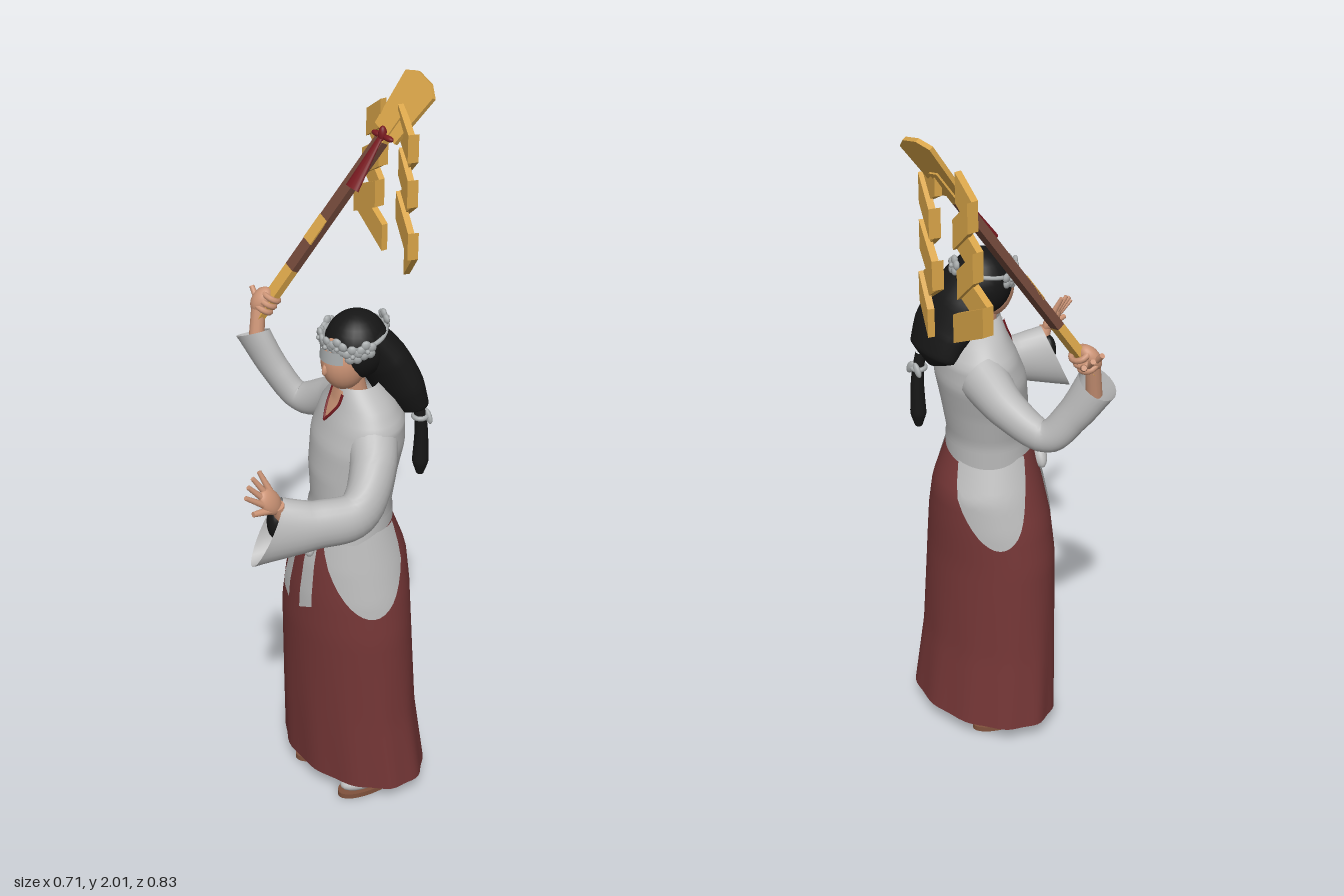
import * as THREE from 'three';

const V = (x, y, z) => new THREE.Vector3(x, y, z);
const mat = (name, color, side = THREE.FrontSide) => {
  const m = new THREE.MeshStandardMaterial({ color, side });
  m.name = name;
  return m;
};
const flatShape = pts => new THREE.Shape(pts.map(p => new THREE.Vector2(...p)));

// Surface from a rule fn(u, v), with u running round and v running up or along
function grid(nu, nv, fn, closed) {
  const pos = [], idx = [], w = closed ? nu : nu + 1;
  for (let j = 0; j <= nv; j++)
    for (let i = 0; i < w; i++) pos.push(...fn(i / nu, j / nv).toArray());
  for (let j = 0; j < nv; j++)
    for (let i = 0; i < nu; i++) {
      const a = j * w + i, b = j * w + (i + 1) % w;
      idx.push(a, b, b + w, a, b + w, a + w);
    }
  const g = new THREE.BufferGeometry();
  g.setAttribute('position', new THREE.Float32BufferAttribute(pos, 3));
  g.setIndex(idx);
  g.computeVertexNormals();
  return g;
}

// Point on a body of elliptical rings [y, cx, cz, rx, rz]; angle 0 is the front
function ringPoint(body, y, a, k = 1) {
  const R = body.rings;
  let i = 0;
  while (i < R.length - 2 && y > R[i + 1][0]) i++;
  const t = (y - R[i][0]) / (R[i + 1][0] - R[i][0]);
  const [, cx, cz, rx, rz] = R[i].map((n, j) => n + (R[i + 1][j] - n) * t);
  const p = V(rx * k * Math.sin(a), y, rz * k * Math.cos(a));
  return p.applyAxisAngle(V(0, 1, 0), body.yaw).add(V(cx, 0, cz));
}
const loft = (body, y0, y1, k = 1, fold = () => 0) => grid(72, 28, (u, v) => {
  const y = y0 + (y1 - y0) * v, a = u * Math.PI * 2;
  return ringPoint(body, y, a, k + fold(a, y));
}, true);
// Cloth lying on a body, hanging from yTop to the edge bottom(u), u from -1 to 1
const patch = (body, mid, half, yTop, bottom, k) => grid(20, 12, (u, v) => {
  const s = u * 2 - 1, y0 = bottom(s);
  return ringPoint(body, y0 + (yTop - y0) * v, mid + half * s, k);
}, false);

// Elliptical tube along points [x, y, z, side radius, up radius, shear]
function sweep(pts, up) {
  const curve = new THREE.CatmullRomCurve3(pts.map(p => V(p[0], p[1], p[2])));
  const n = pts.length - 1;
  return grid(24, 28, (u, v) => {
    const i = Math.min(Math.floor(v * n), n - 1), f = v * n - i;
    const r = j => THREE.MathUtils.lerp(pts[i][j] ?? 0, pts[i + 1][j] ?? 0, f);
    const t = curve.getTangent(v), s = up.clone().cross(t).normalize(), m = t.clone().cross(s);
    const a = u * Math.PI * 2;
    return curve.getPoint(v).addScaledVector(s, r(3) * Math.cos(a))
      .addScaledVector(m, r(4) * Math.sin(a)).addScaledVector(t, -r(5) * Math.sin(a));
  }, true);
}

export function createModel() {
  const root = new THREE.Group();
  root.name = 'shrineDancer';
  const robe = mat('robeWhite', 0xbababa, THREE.DoubleSide), red = mat('skirtRed', 0x743636);
  const black = mat('hairBlack', 0x161616), dark = mat('liningBlack', 0x101010, THREE.BackSide);
  const skin = mat('skin', 0xcc9476), gold = mat('gold', 0xd8a448), wood = mat('wood', 0x6f4638);
  const crimson = mat('tasselRed', 0x781a20), petal = mat('flowerGrey', 0xa8acad, THREE.DoubleSide);
  const sole = mat('sandalBrown', 0x80523c);

  const add = (name, geo, m, parent = root, p = [0, 0, 0], s = [1, 1, 1], r = [0, 0, 0]) => {
    const o = new THREE.Mesh(geo, m);
    o.name = name;
    o.position.set(...p); o.scale.set(...s); o.rotation.set(...r);
    parent.add(o);
    return o;
  };
  const ball = (name, m, p, s, parent = root, r) =>
    add(name, new THREE.SphereGeometry(1, 24, 16), m, parent, p, s, r);
  const limb = (name, m, a, b, r0, r1, parent = root, flat = 1) => {
    const d = b.clone().sub(a);
    const o = add(name, new THREE.CylinderGeometry(r1, r0, d.length(), 12), m, parent,
      a.clone().lerp(b, 0.5).toArray(), [1, 1, flat]);
    o.quaternion.setFromUnitVectors(V(0, 1, 0), d.normalize());
    return o;
  };

  // Skirt with soft folds growing toward the hem
  const skirt = { yaw: 0.12, rings: [[0.075, 0.116, -0.028, 0.234, 0.16], [0.3, 0.112, -0.01, 0.216, 0.153],
    [0.6, 0.112, 0.002, 0.203, 0.152], [0.72, 0.114, 0, 0.186, 0.152],
    [0.82, 0.118, -0.003, 0.16, 0.147], [0.93, 0.125, 0.01, 0.125, 0.115]] };
  const fold = (a, y) => 0.016 * Math.max(0, (0.5 - y) / 0.43) * Math.cos(a * 11);
  add('skirt', loft(skirt, 0.075, 0.93, 1, fold), red);
  add('skirtLining', loft(skirt, 0.077, 0.9, 0.985, fold), dark);

  // Robe body, sash and side flaps
  const torso = { yaw: -0.35, rings: [[0.89, 0.125, 0.01, 0.128, 0.117], [0.98, 0.125, 0, 0.124, 0.107],
    [1.08, 0.12, -0.01, 0.138, 0.117], [1.17, 0.12, -0.025, 0.159, 0.12], [1.24, 0.126, -0.035, 0.153, 0.105],
    [1.29, 0.13, -0.03, 0.112, 0.08], [1.335, 0.13, -0.015, 0.055, 0.055]] };
  add('robe', loft(torso, 0.89, 1.335), robe);
  add('sash', loft(torso, 0.905, 0.965, 1.025), robe);
  for (const [mid, half] of [[1.08, 0.92], [3.9, 0.8]])
    add('sideFlap', patch(skirt, mid, half, 0.93, u => 0.92 - 0.24 * Math.pow(1 - u * u, 0.9), 1.025), robe);

  // Neckline
  add('neckOpening', patch(torso, 0.08, 0.4, 1.325, u => 1.232 + 0.086 * Math.abs(u), 1.015), skin);
  for (const s of [-1, 1]) {
    const edge = [0, 0.33, 0.66, 1].map(t => ringPoint(torso, 1.232 + 0.086 * t, 0.08 + s * 0.4 * t, 1.02));
    add('collarTrim', new THREE.TubeGeometry(new THREE.CatmullRomCurve3(edge), 12, 0.004, 6), crimson);
  }

  // Front bow
  const bow = new THREE.Group();
  bow.name = 'bow';
  bow.position.set(0.075, 0.925, 0.125);
  bow.rotation.y = -0.38;
  root.add(bow);
  ball('bowKnot', robe, [0, 0, 0.008], [0.02, 0.022, 0.018], bow);
  for (const s of [-1, 1]) {
    ball('bowLoop', robe, [s * 0.043, -0.03, 0.004], [0.053, 0.027, 0.022], bow, [0, 0, -s * 0.75]);
    add('bowTail', patch(skirt, s < 0 ? -0.55 : -0.04, 0.12, 0.9, u => 0.675 + 0.012 * u * s, 1.04), robe);
  }

  // Sleeves
  add('rightSleeve', sweep([[0.04, 1.2, -0.085, 0.075, 0.065], [-0.08, 1.155, -0.1, 0.056, 0.05],
    [-0.19, 1.115, -0.072, 0.044, 0.036], [-0.25, 1.19, -0.035, 0.047, 0.038],
    [-0.302, 1.292, 0, 0.058, 0.04, -0.015]], V(0, 0, 1)), robe);
  add('leftSleeve', sweep([[0.2, 1.22, -0.005, 0.07, 0.065], [0.265, 1.145, 0.045, 0.06, 0.066],
    [0.3, 1.065, 0.125, 0.052, 0.065], [0.263, 1.055, 0.23, 0.05, 0.068],
    [0.2, 1.045, 0.34, 0.052, 0.095, 0.05]], V(0, 1, 0)), robe);
  ball('sleeveShadow', black, [0.207, 1.07, 0.318], [0.03, 0.046, 0.022], root, [0, -0.5, 0]);

  // Open left hand
  limb('leftWrist', skin, V(0.222, 1.06, 0.295), V(0.226, 1.135, 0.325), 0.022, 0.018);
  const hand = new THREE.Group();
  hand.name = 'leftHand';
  const hy = V(-0.15, 0.82, 0.55).normalize();
  const hz = V(0.35, -0.5, 0.75).cross(hy).normalize();
  hand.quaternion.setFromRotationMatrix(new THREE.Matrix4().makeBasis(hy.clone().cross(hz), hy, hz));
  hand.position.set(0.225, 1.125, 0.325);
  root.add(hand);
  ball('palm', skin, [0, 0.032, 0], [0.03, 0.042, 0.017], hand);
  for (let i = 0; i < 4; i++) {
    const x = (i - 1.5) * 0.014;
    limb('finger', skin, V(x, 0.05, 0), V(x * 1.9, 0.12 - Math.abs(i - 1.5) * 0.009, 0.006), 0.009, 0.006, hand);
  }
  limb('thumb', skin, V(0.018, 0.02, 0), V(0.055, 0.055, 0.01), 0.011, 0.007, hand);

  // Staff: local y runs up the shaft, local x across the blade
  const staff = new THREE.Group();
  staff.name = 'staff';
  const d = V(0.288, 0.83, -0.478).normalize();
  const w = V(1, 0, 0).addScaledVector(d, -d.x).normalize();
  staff.quaternion.setFromRotationMatrix(new THREE.Matrix4().makeBasis(w, d, w.clone().cross(d)));
  staff.position.set(-0.305, 1.335, -0.02);
  root.add(staff);
  for (const [a, b, m] of [[0, 0.17, gold], [0.17, 0.6, wood], [0.6, 0.7, gold]])
    add('shaft', new THREE.BoxGeometry(0.036, b - a, 0.022), m, staff, [0, (a + b) / 2, 0]);
  add('shaftInlay', new THREE.BoxGeometry(0.036, 0.08, 0.006), gold, staff, [0, 0.3, 0.01]);
  const blade = flatShape([[-0.05, 0.62], [0.05, 0.62], [0.068, 0.778], [0.03, 0.8], [-0.03, 0.8], [-0.068, 0.778]]);
  add('blade', new THREE.ExtrudeGeometry(blade, { depth: 0.012, bevelEnabled: false }), gold, staff, [0, 0, -0.006]);

  // Right hand gripping the staff
  limb('rightWrist', skin, V(-0.295, 1.26, -0.005), V(-0.308, 1.36, -0.025), 0.022, 0.02);
  ball('rightPalm', skin, [-0.014, 0.045, 0.012], [0.028, 0.04, 0.024], staff);
  for (let i = 0; i < 3; i++) {
    add('grippingFinger', new THREE.TorusGeometry(0.026, 0.0085, 8, 16), skin, staff,
      [-0.004, 0.028 + i * 0.02, 0], [1, 0.9, 1], [Math.PI / 2, 0.1, 0]);
    limb('raisedFinger', skin, V(-0.312, 1.365, -0.03 - i * 0.016),
      V(-0.35 + i * 0.008, 1.405 - i * 0.012, -0.035 - i * 0.024), 0.01, 0.007);
  }

  // Zigzag streamers: slanted plates hung along a zigzag top edge
  const drop = 0.078;
  const streamers = [
    { z: -0.345, turn: -0.15, edge: [[-0.165, 1.93], [-0.235, 1.88], [-0.17, 1.815], [-0.255, 1.76],
      [-0.185, 1.69], [-0.295, 1.635], [-0.165, 1.565]] },
    { z: -0.355, turn: -0.4, edge: [[-0.105, 1.93], [-0.015, 1.88], [-0.09, 1.815], [-0.01, 1.755],
      [-0.105, 1.685], [0.005, 1.61], [-0.06, 1.535]] }];
  for (const { z, turn, edge } of streamers) {
    const strip = new THREE.Group();
    strip.name = 'zigzagStreamer';
    strip.position.set(edge[0][0], 0, z);
    strip.rotation.y = turn;
    root.add(strip);
    for (let i = 0; i < edge.length - 1; i++) {
      const [x0, y0] = edge[i], [x1, y1] = edge[i + 1], x = edge[0][0];
      const plate = flatShape([[x0 - x, y0], [x1 - x, y1], [x1 - x, y1 - drop], [x0 - x, y0 - drop]]);
      add('streamerPlate', new THREE.ExtrudeGeometry(plate, { depth: 0.018, bevelEnabled: false }), gold, strip,
        [0, 0, i % 2 ? -0.016 : -0.004]);
    }
  }

  // Red tassel
  limb('tassel', crimson, V(-0.138, 1.72, -0.213), V(-0.125, 1.85, -0.3), 0.025, 0.008, root, 0.4);
  ball('tasselKnot', crimson, [-0.124, 1.852, -0.303], [0.012, 0.024, 0.012]);
  for (const s of [-1, 1]) ball('tasselLoop', crimson, [-0.124 + s * 0.023, 1.848, -0.303], [0.019, 0.008, 0.009]);

  // Head and neck
  limb('neck', skin, V(0.128, 1.27, -0.012), V(0.125, 1.38, 0.01), 0.036, 0.032);
  ball('face', skin, [0.123, 1.405, 0.025], [0.055, 0.083, 0.064], root, [0.1, 0, 0]);
  ball('nose', skin, [0.121, 1.397, 0.085], [0.008, 0.018, 0.01], root, [-0.25, 0, 0]);
  add('browVeil', new THREE.CylinderGeometry(0.064, 0.066, 0.034, 24, 1, true, -0.9, 1.8), petal, root,
    [0.122, 1.437, 0.025], [0.88, 1, 1]);

  // Hair
  ball('hairCap', black, [0.12, 1.437, -0.017], [0.083, 0.093, 0.085]);
  add('longHair', sweep([[0.123, 1.47, -0.03, 0.072, 0.05], [0.145, 1.39, -0.08, 0.09, 0.058],
    [0.166, 1.31, -0.117, 0.093, 0.055], [0.172, 1.25, -0.14, 0.085, 0.046],
    [0.176, 1.213, -0.15, 0.015, 0.008]], V(0, 0, 1)), black);
  add('ponytail', sweep([[0.2, 1.245, -0.165, 0.014, 0.014], [0.205, 1.17, -0.174, 0.017, 0.017],
    [0.205, 1.06, -0.175, 0.023, 0.022], [0.205, 1.02, -0.175, 0.01, 0.01]], V(0, 0, 1)), black);
  add('hairTie', new THREE.TorusGeometry(0.018, 0.007, 8, 16), petal, root, [0.203, 1.2, -0.171], [1, 1, 1], [Math.PI / 2, 0, 0]);
  for (const s of [-1, 1])
    ball('hairTieLoop', petal, [0.205 + s * 0.014, 1.2, -0.186], [0.011, 0.022, 0.008], root, [0, 0, s * 0.5]);

  // Flower crown
  const crown = new THREE.Group();
  crown.name = 'flowerCrown';
  crown.position.set(0.12, 1.472, -0.01);
  crown.rotation.x = 0.18;
  root.add(crown);
  add('crownBand', new THREE.TorusGeometry(0.082, 0.006, 8, 40), petal, crown, [0, 0, 0], [1, 1, 1], [Math.PI / 2, 0, 0]);
  const petalGeo = new THREE.SphereGeometry(0.0135, 8, 6);
  const flower = (a, y) => {
    const f = new THREE.Group();
    f.name = 'flower';
    f.position.set(0.086 * Math.sin(a), y, 0.086 * Math.cos(a));
    f.rotation.y = a;
    crown.add(f);
    for (let i = 0; i < 5; i++) {
      const b = i * Math.PI * 0.4;
      add('petal', petalGeo, petal, f, [0.015 * Math.sin(b), 0.015 * Math.cos(b), 0], [1, 1, 0.6]);
    }
    add('flowerCentre', petalGeo, petal, f, [0, 0, 0.007], [0.5, 0.5, 0.5]);
  };
  for (let i = -3; i <= 3; i++) flower(i * 0.43 - 0.05, (i % 2 ? 0.016 : 0.002) - 0.007 * Math.abs(i));
  flower(2.85, 0.01);

  // Feet in socks and sandals
  for (const [name, x, yaw] of [['rightFoot', 0.03, -0.3], ['leftFoot', 0.215, -0.08]]) {
    const f = new THREE.Group();
    f.name = name;
    f.position.set(x, 0, -0.012);
    f.rotation.y = yaw;
    root.add(f);
    add('sandal', new THREE.CylinderGeometry(1, 1, 0.016, 28), sole, f, [0, 0.008, 0], [0.046, 1, 0.112]);
    ball('sock', robe, [0, 0.035, 0.005], [0.042, 0.032, 0.1], f);
    limb('ankle', robe, V(0, 0.03, -0.05), V(0, 0.11, -0.05), 0.038, 0.036, f);
  }
  return root;
}
